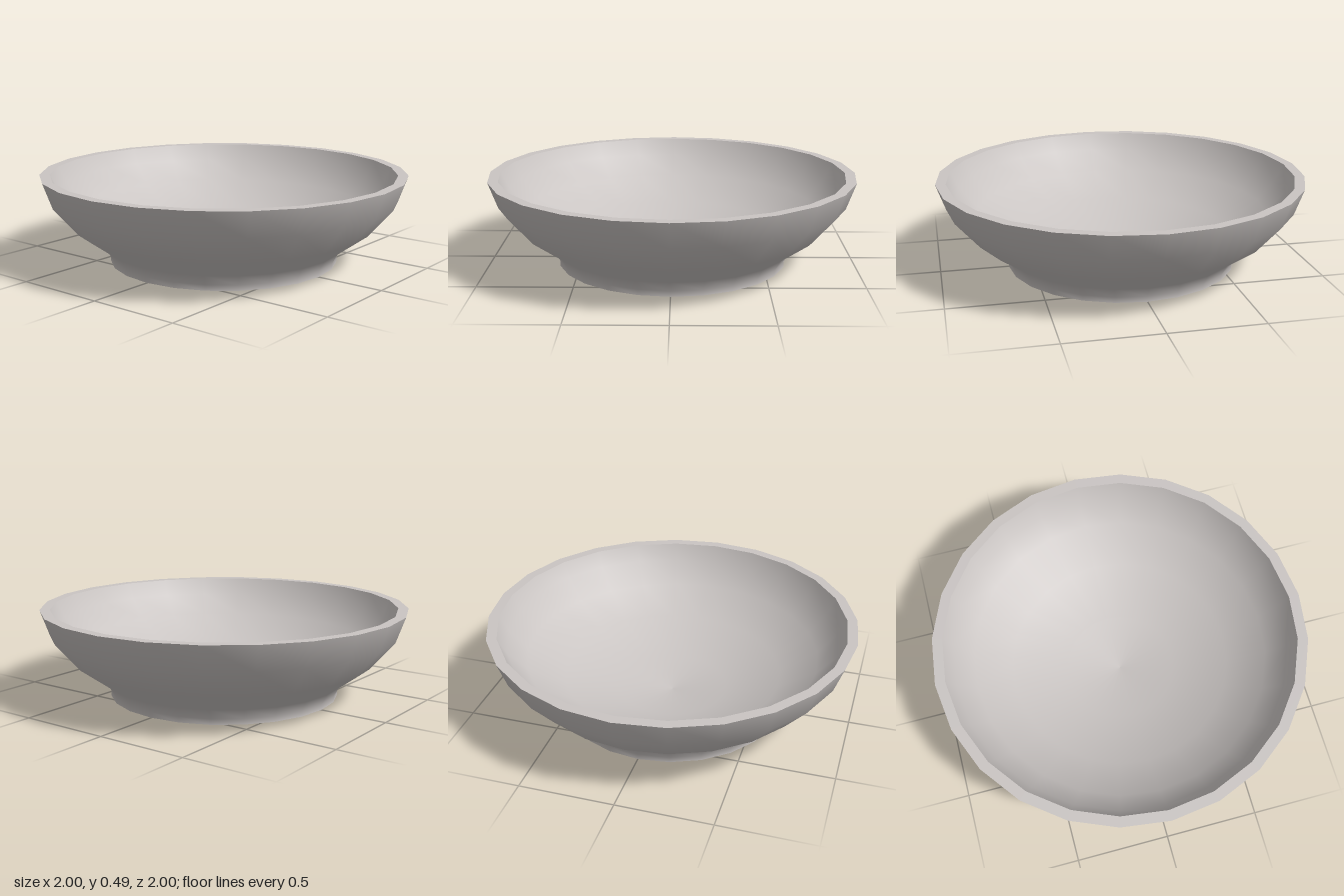
import * as THREE from 'three';

const SEGMENTS = 24;

export function createModel() {
  const group = new THREE.Group();
  group.name = 'bowl';
  const ceramic = new THREE.MeshStandardMaterial({ color: 0xcac5c3 });
  ceramic.name = 'warm grey ceramic';

  // Each smooth surface is its own lathe, so edges between them stay sharp.
  // Profiles run from the underside centre, up the outside and down the inside.
  const addSurface = (name, profile) => {
    const points = profile.map(([r, y]) => new THREE.Vector2(r, y));
    const mesh = new THREE.Mesh(new THREE.LatheGeometry(points, SEGMENTS), ceramic);
    mesh.name = name;
    group.add(mesh);
  };

  // Foot: recessed base, inner wall and standing ring
  addSurface('base', [[0, 0.015], [0.607, 0.015]]);
  addSurface('footInnerWall', [[0.607, 0.015], [0.607, 0]]);
  addSurface('footRing', [[0.607, 0], [0.63, 0]]);

  // Outside of the bowl, from the foot to the rim
  addSurface('outerWall', [
    [0.63, 0], [0.63, 0.03], [0.66, 0.085], [0.82, 0.2], [0.95, 0.35], [1, 0.49],
  ]);

  // Flat rim
  addSurface('rim', [[1, 0.49], [0.945, 0.49]]);

  // Hollow of the bowl, rounding evenly down to a thin floor
  addSurface('innerWall', [
    [0.945, 0.49], [0.9, 0.4], [0.8, 0.285], [0.6, 0.16], [0.3, 0.062], [0, 0.03],
  ]);

  return group;
}
